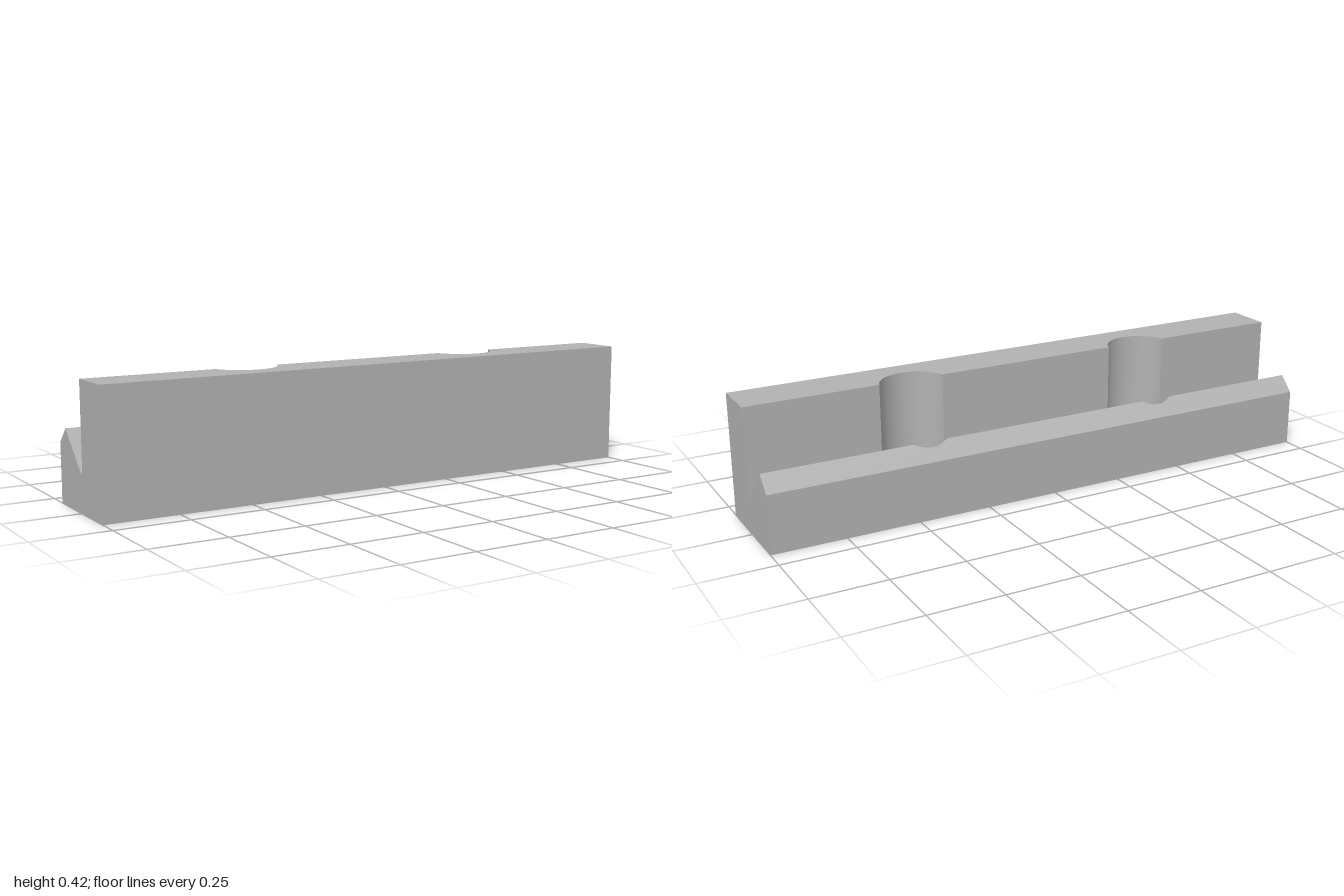
import * as THREE from 'three';
import { toCreasedNormals } from 'three/addons/utils/BufferGeometryUtils.js';

// Side profile as [z, y], from the front foot up, over the groove and ridge, down the back
const PROFILE = [
  [0.174, 0], [0.174, 0.418], [0.014, 0.418], [0.014, 0.127],
  [0, 0.127], [-0.122, 0.248], [-0.174, 0.197], [-0.174, 0],
];
const HOLE_X = 0.435, HOLE_Z = -0.02, HOLE_R = 0.117, STEPS = 28;

// Half width of a vertical hole at depth z
const halfWidth = (z) => Math.sqrt(Math.max(0, HOLE_R ** 2 - (z - HOLE_Z) ** 2));

// Add stations to a profile segment where the hole circle is sampled
function refine(a, b) {
  const out = [a];
  if (a[0] === b[0]) return out;
  const cuts = [];
  for (let i = 0; i <= STEPS; i++) {
    const z = HOLE_Z + HOLE_R * Math.cos((Math.PI * i) / STEPS);
    const t = (z - a[0]) / (b[0] - a[0]);
    if (t > 1e-4 && t < 1 - 1e-4) cuts.push([t, z]);
  }
  cuts.sort((m, n) => m[0] - n[0]);
  for (const [t, z] of cuts) out.push([z, a[1] + t * (b[1] - a[1])]);
  return out;
}

function buildGeometry(quads) {
  const pos = quads.flatMap(([a, b, c, d]) => [a, b, c, a, c, d].flat());
  const geo = new THREE.BufferGeometry();
  geo.setAttribute('position', new THREE.Float32BufferAttribute(pos, 3));
  return toCreasedNormals(geo, 0.5);
}

export function createModel() {
  const group = new THREE.Group();
  group.name = 'grooved rail';
  const grey = new THREE.MeshStandardMaterial({ color: 0xb2b2b2 });
  grey.name = 'grey';
  const add = (geo, name) => {
    const mesh = new THREE.Mesh(geo, grey);
    mesh.name = name;
    group.add(mesh);
  };

  const stations = PROFILE.flatMap((p, i) => refine(p, PROFILE[(i + 1) % PROFILE.length]));
  const body = [], holes = [];
  stations.forEach((p, i) => {
    const q = stations[(i + 1) % stations.length];
    const wp = halfWidth(p[0]), wq = halfWidth(q[0]);

    // Body skin: three ribbons left, between and right of the holes
    const edges = (w) => [-1, -HOLE_X - w, -HOLE_X + w, HOLE_X - w, HOLE_X + w, 1];
    const ep = edges(wp), eq = edges(wq);
    for (let k = 0; k < 6; k += 2) {
      body.push([
        [ep[k], p[1], p[0]], [ep[k + 1], p[1], p[0]],
        [eq[k + 1], q[1], q[0]], [eq[k], q[1], q[0]],
      ]);
    }

    // Hole walls drop from the upper skin to the underside
    if (q[0] >= p[0] || wp + wq < 1e-6) return;
    for (const cx of [-HOLE_X, HOLE_X]) {
      for (const s of [-1, 1]) {
        const xp = cx + s * wp, xq = cx + s * wq;
        const quad = [[xq, 0, q[0]], [xp, 0, p[0]], [xp, p[1], p[0]], [xq, q[1], q[0]]];
        holes.push(s > 0 ? quad : quad.reverse());
      }
    }
  });
  add(buildGeometry(body), 'railBody');
  add(buildGeometry(holes), 'boltHoles');

  // Flat end faces
  for (const s of [-1, 1]) {
    const shape = new THREE.Shape(PROFILE.map(([z, y]) => new THREE.Vector2(-s * z, y)));
    const geo = new THREE.ShapeGeometry(shape).rotateY((s * Math.PI) / 2).translate(s, 0, 0);
    add(geo, s > 0 ? 'leftEnd' : 'rightEnd');
  }
  return group;
}
